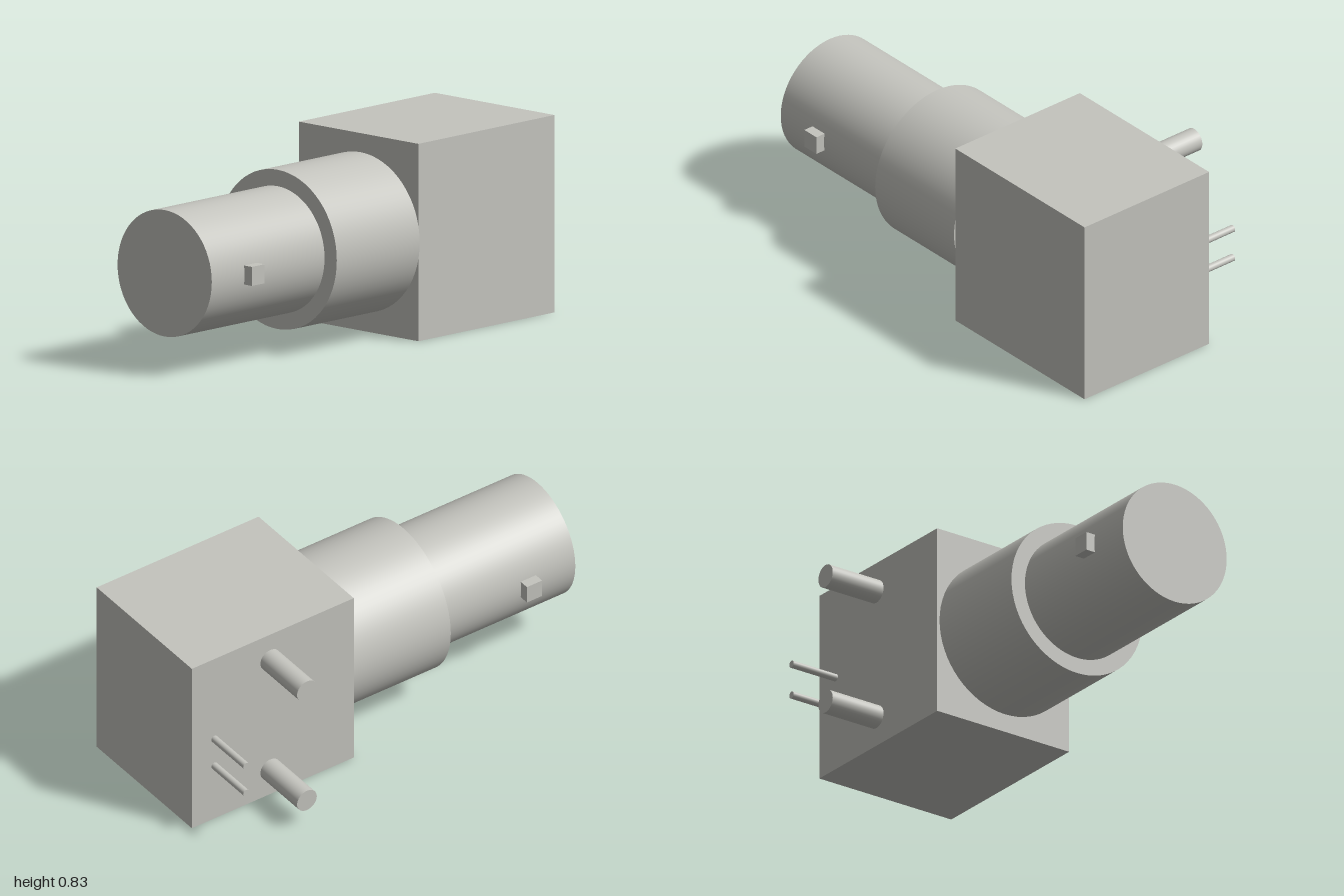
import * as THREE from 'three';

export function createModel() {
  const model = new THREE.Group();
  model.name = 'rightAngleConnector';
  const metal = new THREE.MeshStandardMaterial({ color: 0xc4c4be });
  metal.name = 'light grey metal';

  const axisY = 0.415, axisZ = 0.134;

  function add(name, geometry, x, y, z) {
    const mesh = new THREE.Mesh(geometry, metal);
    mesh.name = name;
    mesh.position.set(x, y, z);
    model.add(mesh);
  }

  // Round section along x, on the connector axis
  function section(name, radius, x0, x1) {
    const geometry = new THREE.CylinderGeometry(radius, radius, x1 - x0, 64).rotateZ(Math.PI / 2);
    add(name, geometry, (x0 + x1) / 2, axisY, axisZ);
  }

  // Pin along z, leaving the back of the housing
  function pin(name, radius, x, y, tipZ) {
    const backZ = -0.213;
    const geometry = new THREE.CylinderGeometry(radius, radius, backZ - tipZ, 32).rotateX(Math.PI / 2);
    add(name, geometry, x, y, (backZ + tipZ) / 2);
  }

  // Housing block
  add('housing', new THREE.BoxGeometry(0.82, 0.83, 0.675), 0.59, 0.415, 0.1245);

  // Stepped barrel
  section('collar', 0.335, -0.32, 0.18);
  section('barrel', 0.266, -1, -0.32);

  // Locking lugs on both sides of the barrel
  for (const side of [-1, 1]) {
    add(side > 0 ? 'frontLug' : 'backLug', new THREE.BoxGeometry(0.077, 0.08, 0.06),
      -0.764, axisY, axisZ + side * 0.277);
  }

  // Mounting posts and contact pins
  pin('upperPost', 0.05, 0.603, 0.7, -0.473);
  pin('lowerPost', 0.05, 0.603, 0.13, -0.473);
  pin('centrePin', 0.0155, 0.886, 0.415, -0.439);
  pin('groundPin', 0.0155, 0.886, 0.275, -0.439);

  return model;
}
